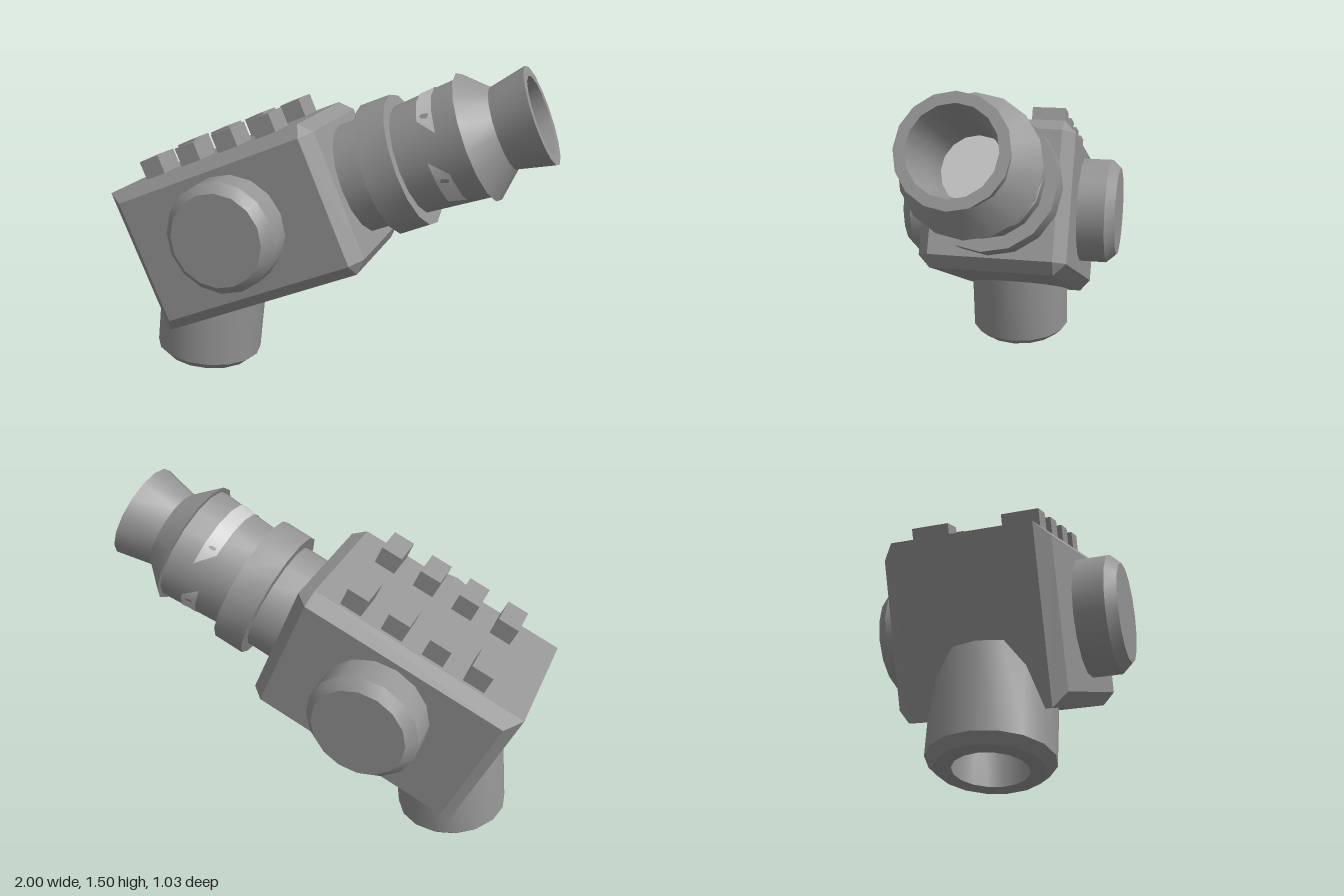
import * as THREE from 'three';
import { toCreasedNormals } from 'three/addons/utils/BufferGeometryUtils.js';
import { ConvexGeometry } from 'three/addons/geometries/ConvexGeometry.js';

const SIDES = 16;
const dark = new THREE.MeshStandardMaterial({ color: 0x959595 });
const light = new THREE.MeshStandardMaterial({ color: 0xcccccc, side: THREE.DoubleSide });

function part(name, geometry, parent, material = dark) {
  const mesh = new THREE.Mesh(geometry, material);
  mesh.name = name;
  parent.add(mesh);
  return mesh;
}

// Turned solid about y from [radius, height] pairs, outside listed upwards
function turned(profile) {
  const points = profile.map(([r, h]) => new THREE.Vector2(r, h));
  return toCreasedNormals(new THREE.LatheGeometry(points, SIDES), 0.45);
}

// Block with chamfered long edges and a chamfered front end; its rear end is square
function housingGeometry() {
  const points = [];
  const add = (u, v, z) => points.push(new THREE.Vector3(u, v, z), new THREE.Vector3(u, v, -z));
  for (const v of [-0.313, 0.28]) {
    add(-0.49, v, 0.34);
    add(0.457, v, 0.34);
    add(0.515, v, 0.285);
  }
  for (const v of [-0.368, 0.335]) {
    add(-0.542, v, 0.285);
    add(0.457, v, 0.285);
  }
  return new ConvexGeometry(points);
}

// Slant-ended strip lying on the faceted barrel; angles in degrees from the top
function stripGeometry(rear, front) {
  const geometry = new THREE.PlaneGeometry(1, 1, 48, 1);
  const pos = geometry.attributes.position;
  const facet = (2 * Math.PI) / SIDES;
  for (let i = 0; i < pos.count; i++) {
    const t = pos.getX(i) + 0.5, s = pos.getY(i) + 0.5;
    const u = 0.92 + 0.072 * s;
    const from = THREE.MathUtils.lerp(rear[0], front[0], s);
    const to = THREE.MathUtils.lerp(rear[1], front[1], s);
    const a = THREE.MathUtils.degToRad(THREE.MathUtils.lerp(from, to, t));
    const within = THREE.MathUtils.euclideanModulo(a, facet) - facet / 2;
    const r = (0.25 + 0.072 * (u - 0.788)) * Math.cos(facet / 2) / Math.cos(within) + 0.004;
    pos.setXYZ(i, u, r * Math.cos(a), r * Math.sin(a));
    geometry.attributes.normal.setXYZ(i, -0.07, Math.cos(a), Math.sin(a));
  }
  geometry.normalizeNormals();
  return geometry;
}

export function createModel() {
  const model = new THREE.Group();
  model.name = 'model';

  // Everything but the foot is tilted upwards
  const body = new THREE.Group();
  body.name = 'tiltedBody';
  body.position.set(-0.37, 0.767, 0);
  body.rotation.z = Math.PI / 8;
  model.add(body);

  part('housing', housingGeometry(), body);

  // Side hubs
  for (const side of [1, -1]) {
    const hub = part('sideHub', turned([[0, 0.2], [0.253, 0.2], [0.253, 0.47], [0.212, 0.515], [0, 0.515]]), body);
    hub.rotation.x = side * Math.PI / 2;
  }

  // Two rows of studs on top
  for (const z of [-0.19, 0.19]) {
    for (let i = 0; i < 4; i++) {
      const stud = part('topStud', new THREE.BoxGeometry(0.1, 0.12, 0.155), body);
      stud.position.set(-0.297 + 0.196 * i, 0.361, z);
    }
  }

  // Barrel: shaft, collar, swelling section, lipped cone and flared hollow mouth
  const barrel = new THREE.Group();
  barrel.name = 'barrel';
  barrel.position.set(0, -0.007, -0.024);
  body.add(barrel);
  const tube = part('barrelTube', turned([
    [0, 0.4], [0.255, 0.4], [0.255, 0.644], [0.306, 0.644], [0.306, 0.788], [0.25, 0.788],
    [0.272, 1.1], [0.294, 1.1], [0.187, 1.216], [0.223, 1.386],
    [0.178, 1.386], [0.15, 1.216], [0.15, 0.96],
  ]), barrel);
  tube.rotation.z = -Math.PI / 2;
  const lens = part('lens', new THREE.CircleGeometry(0.155, SIDES), barrel, light);
  lens.position.x = 0.97;
  lens.rotation.y = Math.PI / 2;

  // Light strips around the barrel
  part('topStrip', stripGeometry([-49, 49], [-67, 67]), barrel, light);
  part('leftStrip', stripGeometry([90, 140], [107, 147]), barrel, light);
  part('rightStrip', stripGeometry([-140, -90], [-147, -107]), barrel, light);

  // Hollow foot, leaning slightly
  const foot = part('foot', turned([
    [0.15, 0.36], [0.15, 0], [0.215, 0], [0.253, 0.037], [0.253, 0.42], [0, 0.42],
  ]), model);
  foot.position.set(-0.656, 0.026, 0.024);
  foot.rotation.z = -0.12;
  const footPlug = part('footPlug', new THREE.CircleGeometry(0.155, SIDES), foot);
  footPlug.position.y = 0.35;
  footPlug.rotation.x = Math.PI / 2;

  return model;
}
